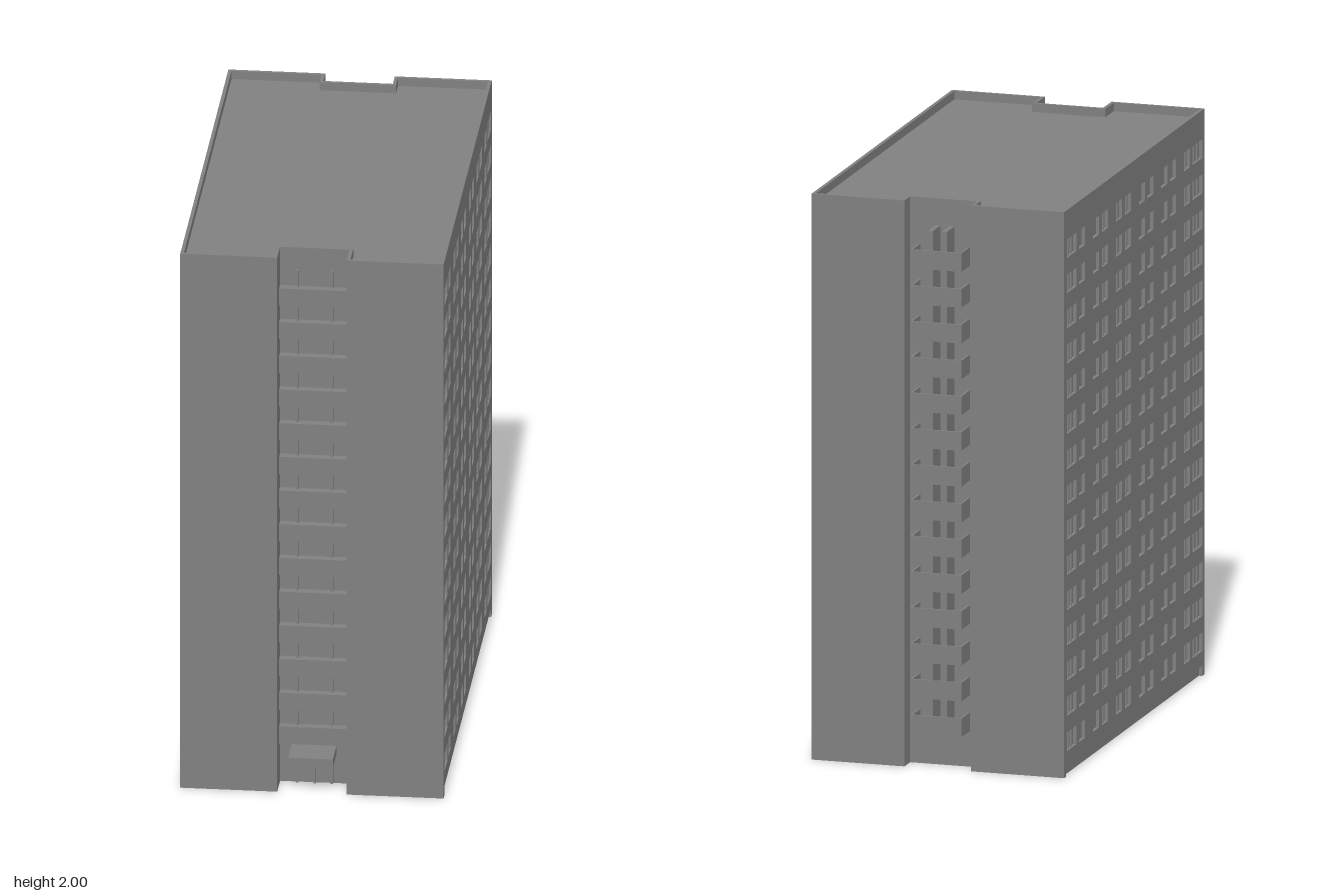
import * as THREE from 'three';

const W = 0.455, D = 0.8, H = 2, T = 0.012;   // half width, half depth, height, wall thickness
const NOTCH = 0.12, FRONT_Z = 0.705, BACK_Z = -0.735;
const STOREYS = 15, PITCH = 0.1245, WIN_Y = 0.088, WIN_H = 0.066;

// window columns along z: [from, to, number of lights]
const COLUMNS = [
  [0.665, 0.775, 3], [0.567, 0.635, 2], [0.407, 0.476, 1], [0.307, 0.376, 1],
  [0.153, 0.217, 1], [0.053, 0.12, 1], [-0.106, -0.037, 2], [-0.206, -0.138, 2],
  [-0.365, -0.3, 2], [-0.47, -0.4, 1], [-0.63, -0.56, 1], [-0.767, -0.66, 3],
];

export function createModel() {
  const concrete = new THREE.MeshStandardMaterial({ color: 0x808080 });
  concrete.name = 'concrete grey';
  const model = new THREE.Group();
  model.name = 'apartmentTower';

  const group = (name, parent = model) => {
    const g = new THREE.Group();
    g.name = name;
    parent.add(g);
    return g;
  };
  const box = (name, parent, x0, x1, y0, y1, z0, z1) => {
    const m = new THREE.Mesh(new THREE.BoxGeometry(x1 - x0, y1 - y0, z1 - z0), concrete);
    m.name = name;
    m.position.set((x0 + x1) / 2, (y0 + y1) / 2, (z0 + z1) / 2);
    parent.add(m);
    return m;
  };

  // long side wall with window openings and a plinth cut-out, drawn in (-z, y)
  const outline = new THREE.Shape();
  [[-D, 0], [-0.775, 0], [-0.775, 0.035], [0.775, 0.035], [0.775, 0], [D, 0], [D, H], [-D, H]]
    .forEach(([u, v], i) => (i ? outline.lineTo(u, v) : outline.moveTo(u, v)));
  for (let r = 0; r < STOREYS; r++) {
    const y = WIN_Y + r * PITCH;
    for (const [a, b] of COLUMNS) {
      const hole = new THREE.Path();
      hole.moveTo(-b, y);
      hole.lineTo(-b, y + WIN_H);
      hole.lineTo(-a, y + WIN_H);
      hole.lineTo(-a, y);
      hole.closePath();
      outline.holes.push(hole);
    }
  }
  const wallGeo = new THREE.ExtrudeGeometry(outline, { depth: T, bevelEnabled: false });
  wallGeo.rotateY(Math.PI / 2);

  for (const s of [1, -1]) {
    const side = group(s > 0 ? 'leftSide' : 'rightSide');
    const wall = new THREE.Mesh(wallGeo, concrete);
    wall.name = 'windowWall';
    wall.position.x = s > 0 ? W - T : -W;
    side.add(wall);
    // box placed by its depth behind the outer face
    const behind = (name, d0, d1, y0, y1, z0, z1) =>
      box(name, side, s > 0 ? W - d1 : -W + d0, s > 0 ? W - d0 : -W + d1, y0, y1, z0, z1);
    behind('plinth', T, T + 0.005, 0, 0.04, -0.78, 0.78);
    for (let r = 0; r < STOREYS; r++) {
      const y = WIN_Y + r * PITCH;
      for (const [a, b, n] of COLUMNS) {
        behind('windowPane', T, T + 0.005, y - 0.004, y + WIN_H + 0.004, a - 0.004, b + 0.004);
        for (let i = 1; i < n; i++) {
          const z = a + (b - a) * i / n;
          behind('mullion', 0.005, T, y, y + WIN_H, z - 0.003, z + 0.003);
        }
      }
    }
  }

  // blank end walls with a recess in the middle of each end
  for (const s of [1, -1]) {
    const end = group(s > 0 ? 'frontEnd' : 'backEnd');
    const face = s > 0 ? FRONT_Z : -BACK_Z;
    const put = (name, x0, x1, d0, d1) =>
      box(name, end, x0, x1, 0, H, Math.min(s * d0, s * d1), Math.max(s * d0, s * d1));
    for (const m of [1, -1]) {
      const span = (p, q) => (m > 0 ? [p, q] : [-q, -p]);
      put('blankWall', ...span(NOTCH, W - T), D - T, D);
      put('recessCheek', ...span(NOTCH, NOTCH + T), face - T, D - T);
    }
    put('recessWall', -NOTCH, NOTCH, face - T, face);
  }

  // roof slab set down behind the parapet
  const roof = new THREE.Shape();
  const r = W - 0.006, e = D - 0.006, n = NOTCH + 0.006;
  [[-r, -e], [-n, -e], [-n, -FRONT_Z + 0.006], [n, -FRONT_Z + 0.006], [n, -e], [r, -e],
    [r, e], [n, e], [n, -BACK_Z - 0.006], [-n, -BACK_Z - 0.006], [-n, e], [-r, e]]
    .forEach(([u, v], i) => (i ? roof.lineTo(u, v) : roof.moveTo(u, v)));
  const roofGeo = new THREE.ExtrudeGeometry(roof, { depth: 0.015, bevelEnabled: false });
  roofGeo.rotateX(-Math.PI / 2);
  const roofMesh = new THREE.Mesh(roofGeo, concrete);
  roofMesh.name = 'roof';
  roofMesh.position.y = 1.955;
  model.add(roofMesh);

  // front stairwell: projecting spandrel bands with mullions between them
  const stair = group('stairwell');
  for (let k = 0; k < 14; k++) {
    const top = 1.857 - k * 0.1262;
    box('spandrel', stair, -NOTCH, NOTCH, top - 0.064, top, FRONT_Z, 0.735);
    for (const x of [-0.06, 0.06])
      box('stairMullion', stair, x - 0.004, x + 0.004, top, top + 0.062, FRONT_Z, 0.718);
  }

  // entrance
  const entrance = group('entrance');
  box('canopy', entrance, -0.08, 0.075, 0.11, 0.14, FRONT_Z, 0.825);
  for (const x of [-0.06, 0, 0.06])
    box('doorPost', entrance, x - 0.004, x + 0.004, 0, 0.11, FRONT_Z, 0.715);

  // back balconies: slab, three parapet sides, and two full-height fins
  const balconies = group('balconies');
  const bx0 = -0.095, bx1 = 0.09, bz = -0.83, t = 0.007;
  for (let k = 0; k < 14; k++) {
    const y = 1.77 - k * 0.1265, top = y + 0.066;
    const b = group('balcony', balconies);
    box('balconySlab', b, bx0, bx1, y, y + 0.01, bz, BACK_Z);
    box('balconyFront', b, bx0, bx1, y + 0.01, top, bz, bz + t);
    box('balconySide', b, bx0, bx0 + t, y + 0.01, top, bz + t, BACK_Z);
    box('balconySide', b, bx1 - t, bx1, y + 0.01, top, bz + t, BACK_Z);
  }
  for (const x of [-0.03, 0.02])
    box('balconyFin', balconies, x - 0.009, x + 0.009, 0.128, 1.905, -0.82, BACK_Z);

  return model;
}
